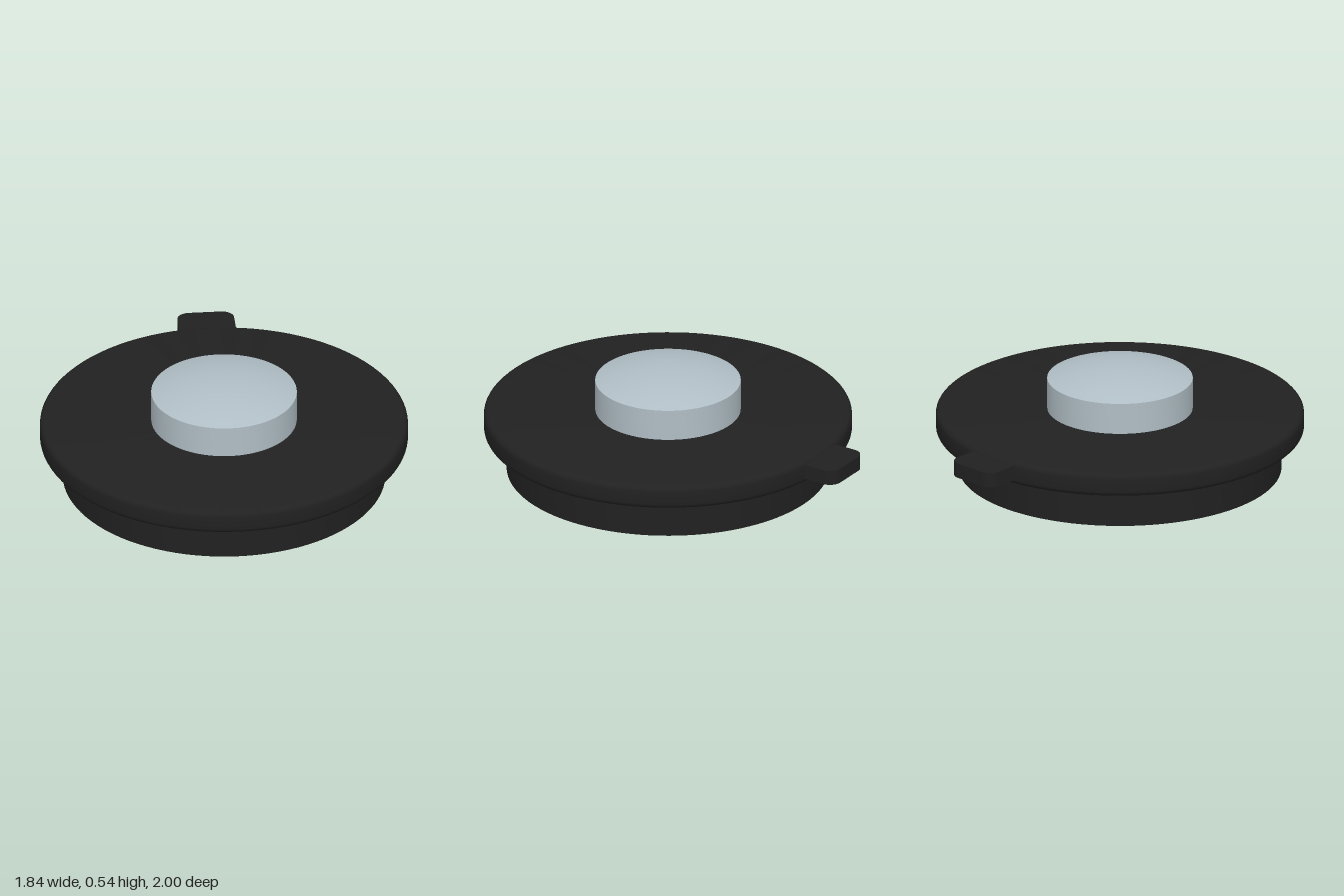
import * as THREE from 'three';
import { toCreasedNormals } from 'three/addons/utils/BufferGeometryUtils.js';

const rubber = new THREE.MeshStandardMaterial({ color: 0x212121 });
rubber.name = 'black rubber';
const metal = new THREE.MeshStandardMaterial({ color: 0xb0bec5 });
metal.name = 'pale grey metal';

const CENTRE_Z = 0.08;

// Corner of a rounded profile: points on a quarter arc
function arc(cx, cy, r, from, steps = 5) {
  return Array.from({ length: steps + 1 }, (_, i) => {
    const a = from + (i / steps) * Math.PI / 2;
    return [cx + r * Math.cos(a), cy + r * Math.sin(a)];
  });
}

// Revolved part with crisp edges, profile running from bottom to top
function turned(name, profile, material) {
  const points = profile.map(([x, y]) => new THREE.Vector2(x, y));
  const mesh = new THREE.Mesh(toCreasedNormals(new THREE.LatheGeometry(points, 96), 0.6), material);
  mesh.name = name;
  mesh.position.z = CENTRE_Z;
  return mesh;
}

export function createModel() {
  const model = new THREE.Group();
  model.name = 'stopperLid';

  // Hollow skirt under the lid
  model.add(turned('skirt', [[0.76, 0.2], [0.76, 0], [0.805, 0], [0.805, 0.2]], rubber));

  // Flat disc with rounded rim
  const r = 0.03;
  model.add(turned('lidDisc', [
    [0, 0.197],
    ...arc(0.918 - r, 0.197 + r, r, -Math.PI / 2),
    ...arc(0.918 - r, 0.32 - r, r, 0),
    [0, 0.32],
  ], rubber));

  // Button with a shallow domed top
  const radius = 0.363, edge = 0.48, rise = 0.06;
  const sphere = (radius * radius + rise * rise) / (2 * rise);
  const dome = Array.from({ length: 13 }, (_, i) => {
    const x = radius * (1 - i / 12);
    return [x, edge + rise - sphere + Math.sqrt(sphere * sphere - x * x)];
  });
  model.add(turned('buttonSide', [[radius, 0.31], [radius, edge]], metal));
  model.add(turned('buttonDome', dome, metal));

  // Pull tab at the back, with rounded outer corners
  const w = 0.142, c = 0.06, outer = 1, inner = 0.78;
  const shape = new THREE.Shape();
  shape.moveTo(-w, inner);
  shape.lineTo(w, inner);
  shape.lineTo(w, outer - c);
  shape.absarc(w - c, outer - c, c, 0, Math.PI / 2);
  shape.absarc(-w + c, outer - c, c, Math.PI / 2, Math.PI);
  shape.closePath();
  const tabGeometry = new THREE.ExtrudeGeometry(shape, { depth: 0.077, bevelEnabled: false, curveSegments: 10 });
  tabGeometry.rotateX(-Math.PI / 2);
  const tab = new THREE.Mesh(toCreasedNormals(tabGeometry, 0.6), rubber);
  tab.name = 'pullTab';
  tab.position.y = 0.225;
  model.add(tab);

  return model;
}
